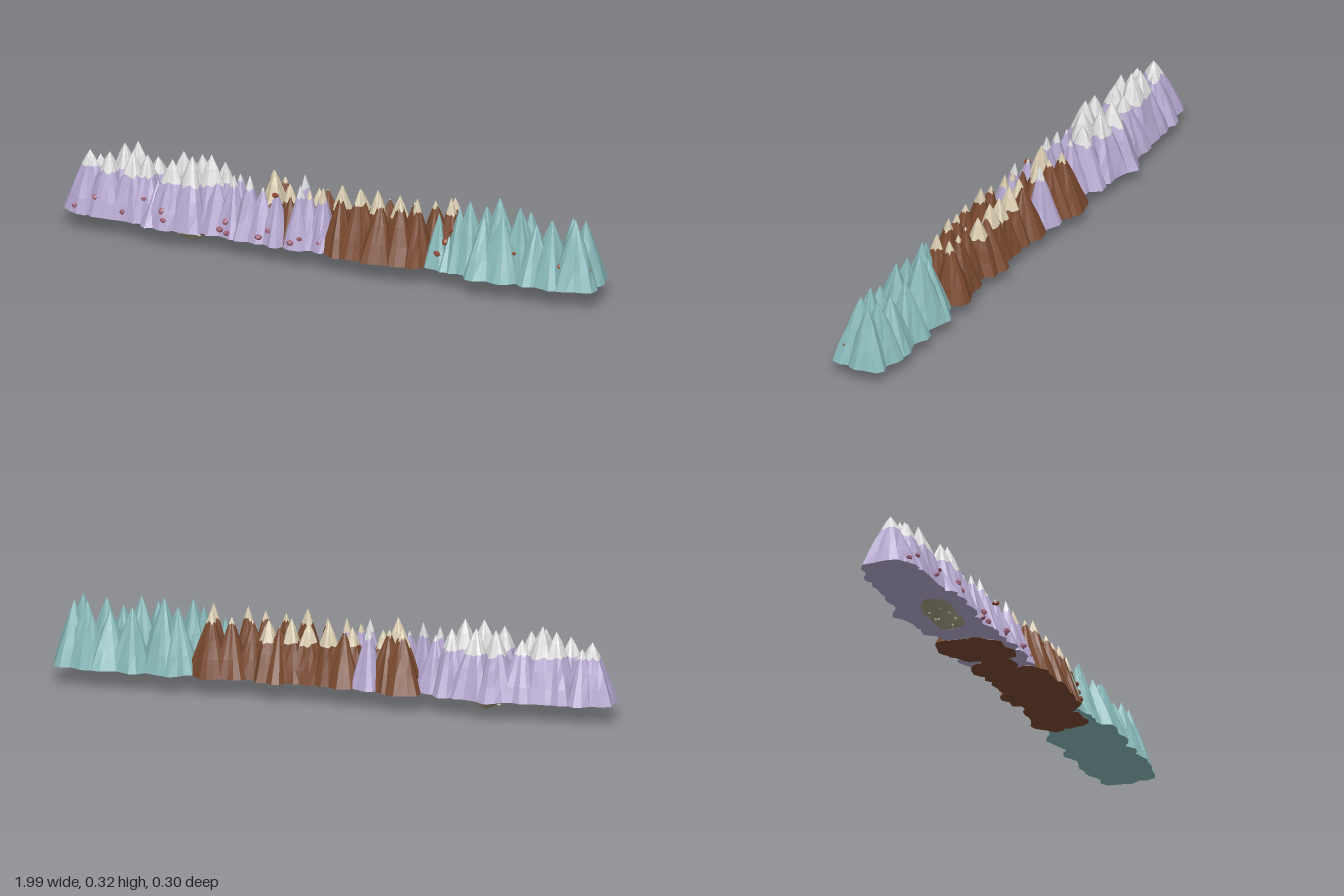
import * as THREE from 'three';

const BASE = 0.066;

function mat(name, color) {
  const m = new THREE.MeshStandardMaterial({ color, flatShading: true });
  m.name = name;
  return m;
}

// Small seeded random generator
function seeded(seed) {
  let s = seed * 7919 + 17;
  return () => {
    s = (s * 16807) % 2147483647;
    return s / 2147483647;
  };
}

// Ridged cone standing on y = 0; group 0 is the rock, group 1 the cap above capY
function peakGeometry(R, H, capY, leanZ, seed, power) {
  const rnd = seeded(seed);
  for (let i = 0; i < 5; i++) rnd();
  const n = 18, turn = rnd() * 6.28, p1 = rnd() * 6.28, p2 = rnd() * 6.28;
  const capT = Math.min(capY / H, 0.97);
  const levels = [0, capT * 0.35, capT * 0.7, capT, capT + (1 - capT) * 0.55, 1];
  // Broad uneven spurs and gullies
  const spur = Array.from({ length: n }, (_, i) => {
    const a = (i / n) * Math.PI * 2;
    return 1 + 0.08 * Math.sin(3 * a + p1) + 0.08 * Math.sin(5 * a + p2) + (rnd() - 0.5) * 0.08;
  });
  const rings = levels.map((t, k) => spur.map((s, i) => {
    const a = turn + (i / n) * Math.PI * 2;
    const jag = k === 3 && capT < 0.95 ? (rnd() - 0.5) * 0.07 : 0;
    const tt = Math.min(1, t + jag);
    const wobble = k > 0 ? 1 + (rnd() - 0.5) * 0.1 : 1;
    const r = R * Math.pow(1 - tt, power) * s * wobble;
    return [Math.cos(a) * r, tt * H, Math.sin(a) * r + leanZ * tt];
  }));
  const pos = [];
  let split = 0;
  for (let i = 0; i < n; i++) pos.push(0, 0, 0, ...rings[0][i], ...rings[0][(i + 1) % n]);
  for (let k = 0; k < levels.length - 1; k++) {
    if (k === 3) split = pos.length / 3;
    for (let i = 0; i < n; i++) {
      const j = (i + 1) % n, lo = rings[k], up = rings[k + 1];
      pos.push(...lo[i], ...up[i], ...lo[j]);
      if (k < levels.length - 2) pos.push(...lo[j], ...up[i], ...up[j]);
    }
  }
  const g = new THREE.BufferGeometry();
  g.setAttribute('position', new THREE.Float32BufferAttribute(pos, 3));
  g.addGroup(0, split, 0);
  g.addGroup(split, pos.length / 3 - split, 1);
  g.computeVertexNormals();
  return g;
}

// Peaks as [x, z, top height, base radius]
const SNOWY = [
  [-0.91, 0.0, 0.27, 0.092], [-0.88, -0.03, 0.25, 0.075], [-0.83, 0.02, 0.28, 0.09],
  [-0.79, -0.03, 0.305, 0.085], [-0.74, -0.025, 0.32, 0.09], [-0.74, 0.03, 0.3, 0.08],
  [-0.69, 0.02, 0.29, 0.085], [-0.67, -0.04, 0.27, 0.085], [-0.59, 0.045, 0.295, 0.085],
  [-0.58, -0.055, 0.3, 0.088], [-0.52, 0.035, 0.315, 0.09], [-0.51, -0.05, 0.3, 0.085],
  [-0.46, 0.0, 0.32, 0.09], [-0.42, -0.035, 0.29, 0.08],
];
const LILAC = [
  [-0.92, 0.03, 0.2, 0.06], [-0.64, 0.055, 0.21, 0.065], [-0.42, 0.05, 0.25, 0.06],
  [-0.36, 0.05, 0.275, 0.062], [-0.36, -0.02, 0.26, 0.07], [-0.3, 0.055, 0.285, 0.062],
  [-0.25, 0.06, 0.25, 0.06], [-0.195, 0.065, 0.25, 0.06], [-0.11, 0.065, 0.28, 0.06],
  [-0.13, -0.05, 0.285, 0.06],
];
const LILAC_CREAM = [[-0.08, 0.05, 0.265, 0.062], [-0.03, 0.05, 0.28, 0.06]];
const BROWN = [
  [-0.25, -0.065, 0.28, 0.075], [-0.2, -0.04, 0.27, 0.075],
  [-0.15, 0.055, 0.23, 0.05], [0.04, 0.065, 0.27, 0.062], [0.11, 0.06, 0.3, 0.07],
  [0.19, 0.075, 0.275, 0.068], [0.26, 0.06, 0.28, 0.068], [0.32, 0.055, 0.295, 0.062],
  [-0.04, -0.035, 0.25, 0.07], [0.19, -0.035, 0.25, 0.07],
  [0.29, -0.01, 0.26, 0.065], [0.36, -0.03, 0.27, 0.07], [0.43, -0.04, 0.29, 0.07],
  [0.435, 0.02, 0.305, 0.068],
];
const CREAMY = [
  [-0.22, 0.015, 0.305, 0.075], [-0.17, 0.0, 0.26, 0.065], [-0.06, 0.0, 0.26, 0.065],
  [0.02, -0.015, 0.28, 0.07], [0.09, -0.02, 0.27, 0.072], [0.15, -0.02, 0.28, 0.068],
  [0.23, -0.025, 0.27, 0.07],
];
const TEAL = [
  [0.4, 0.05, 0.25, 0.052], [0.445, 0.05, 0.2, 0.055], [0.475, 0.045, 0.285, 0.06],
  [0.51, 0.035, 0.31, 0.075],
  [0.55, -0.03, 0.28, 0.08], [0.57, 0.065, 0.27, 0.075], [0.6, -0.025, 0.32, 0.085],
  [0.64, 0.065, 0.285, 0.078], [0.69, 0.02, 0.31, 0.085], [0.71, -0.04, 0.28, 0.075],
  [0.76, 0.05, 0.265, 0.075], [0.79, -0.03, 0.26, 0.08], [0.82, 0.05, 0.29, 0.075],
  [0.87, -0.03, 0.285, 0.08], [0.9, 0.035, 0.3, 0.085], [0.92, -0.02, 0.285, 0.075],
];

export function createModel() {
  const root = new THREE.Group();
  root.name = 'mountainRange';
  const lilac = mat('lilacRock', 0xb5a8cf), snow = mat('snow', 0xdcdcdc);
  const brown = mat('brownRock', 0x7a4a30), cream = mat('creamCap', 0xd9ccb0);
  const teal = mat('tealRock', 0x88b8b8), stone = mat('undersideStone', 0x9e977e);
  const pink = mat('pinkPebble', 0xa5667c), rust = mat('rustPebble', 0x8f4a34);

  // Mountain rows; the base height differs slightly so the undersides stay distinct
  const placed = [];
  let seed = 1;
  function row(name, peaks, rock, cap, capLine, drop, power) {
    const group = new THREE.Group();
    group.name = name;
    for (const [x, z, top, R] of peaks) {
      const y = BASE - drop, H = top - y;
      const geo = peakGeometry(R, H, capLine - y, -z * 0.25, seed++, power);
      const p = geo.attributes.position;
      for (let i = 0; i < p.count; i++) p.setX(i, THREE.MathUtils.clamp(p.getX(i) + x, -1, 1));
      geo.computeVertexNormals();
      const peak = new THREE.Mesh(geo, [rock, cap]);
      peak.name = 'peak';
      peak.position.set(0, y, z);
      group.add(peak);
      placed.push({ x, z, R, H, y, power });
    }
    root.add(group);
  }
  row('snowyMountains', SNOWY, lilac, snow, 0.216, 0, 0.85);
  row('lilacHills', LILAC, lilac, snow, 0.235, 0, 0.95);
  row('creamCappedHills', LILAC_CREAM, lilac, cream, 0.23, 0, 0.95);
  row('brownMountains', BROWN, brown, cream, 0.246, 0.001, 0.9);
  row('creamCappedMountains', CREAMY, brown, cream, 0.195, 0.001, 0.85);
  row('tealMountains', TEAL, teal, teal, 0.25, 0.0005, 0.92);

  // Pointed stone hanging under the base
  const hang = peakGeometry(0.128, BASE, 0.062, 0, 91, 0.92);
  hang.rotateX(Math.PI);
  hang.scale(1, 1, 0.42);
  const under = new THREE.Mesh(hang, [stone, stone]);
  under.name = 'hangingStone';
  under.position.set(-0.53, BASE, 0.012);
  root.add(under);

  // Light chips on the hanging stone
  for (let i = 0; i < 14; i++) {
    const a = i * 2.4, t = 0.15 + (i % 5) * 0.13;
    const r = 0.128 * Math.pow(1 - t, 0.92) * 0.97;
    const chip = new THREE.Mesh(new THREE.DodecahedronGeometry(0.006), cream);
    chip.name = 'stoneChip';
    chip.position.set(-0.53 + Math.cos(a) * r, BASE * (1 - t), 0.012 + Math.sin(a) * r * 0.42);
    chip.scale.set(1.5, 0.7, 0.8);
    root.add(chip);
  }

  // Front surface depth at a given x and y
  function frontZ(x, y) {
    let best = -1;
    for (const p of placed) {
      const t = (y - p.y) / p.H;
      if (t >= 1) continue;
      const r = p.R * Math.pow(1 - t, p.power), d = x - p.x;
      if (Math.abs(d) < r) best = Math.max(best, p.z * (1 - 0.25 * t) + Math.sqrt(r * r - d * d));
    }
    return best;
  }

  // Pebbles scattered on the front slopes
  function pebbles(name, spots, material) {
    spots.forEach(([x, y, s], i) => {
      const pebble = new THREE.Mesh(new THREE.DodecahedronGeometry(s), material);
      pebble.name = name;
      pebble.position.set(x, y, frontZ(x, y));
      pebble.rotation.set(i, i * 2, 0);
      pebble.scale.set(1.2, 0.8, 0.9);
      root.add(pebble);
    });
  }
  pebbles('pinkPebble', [
    [-0.93, 0.09, 0.012], [-0.86, 0.13, 0.009], [-0.75, 0.1, 0.01], [-0.68, 0.15, 0.009],
    [-0.6, 0.13, 0.012], [-0.59, 0.1, 0.01], [-0.39, 0.09, 0.013], [-0.37, 0.12, 0.011],
    [-0.36, 0.085, 0.011], [-0.24, 0.09, 0.012], [-0.21, 0.115, 0.01], [-0.12, 0.09, 0.012],
    [-0.09, 0.105, 0.011], [-0.02, 0.1, 0.01],
  ], pink);
  pebbles('rustPebble', [
    [0.69, 0.16, 0.008], [0.86, 0.14, 0.007], [0.96, 0.13, 0.008], [0.45, 0.2, 0.012],
    [0.43, 0.16, 0.012], [0.41, 0.12, 0.011], [-0.2, 0.23, 0.012],
  ], rust);
  return root;
}
